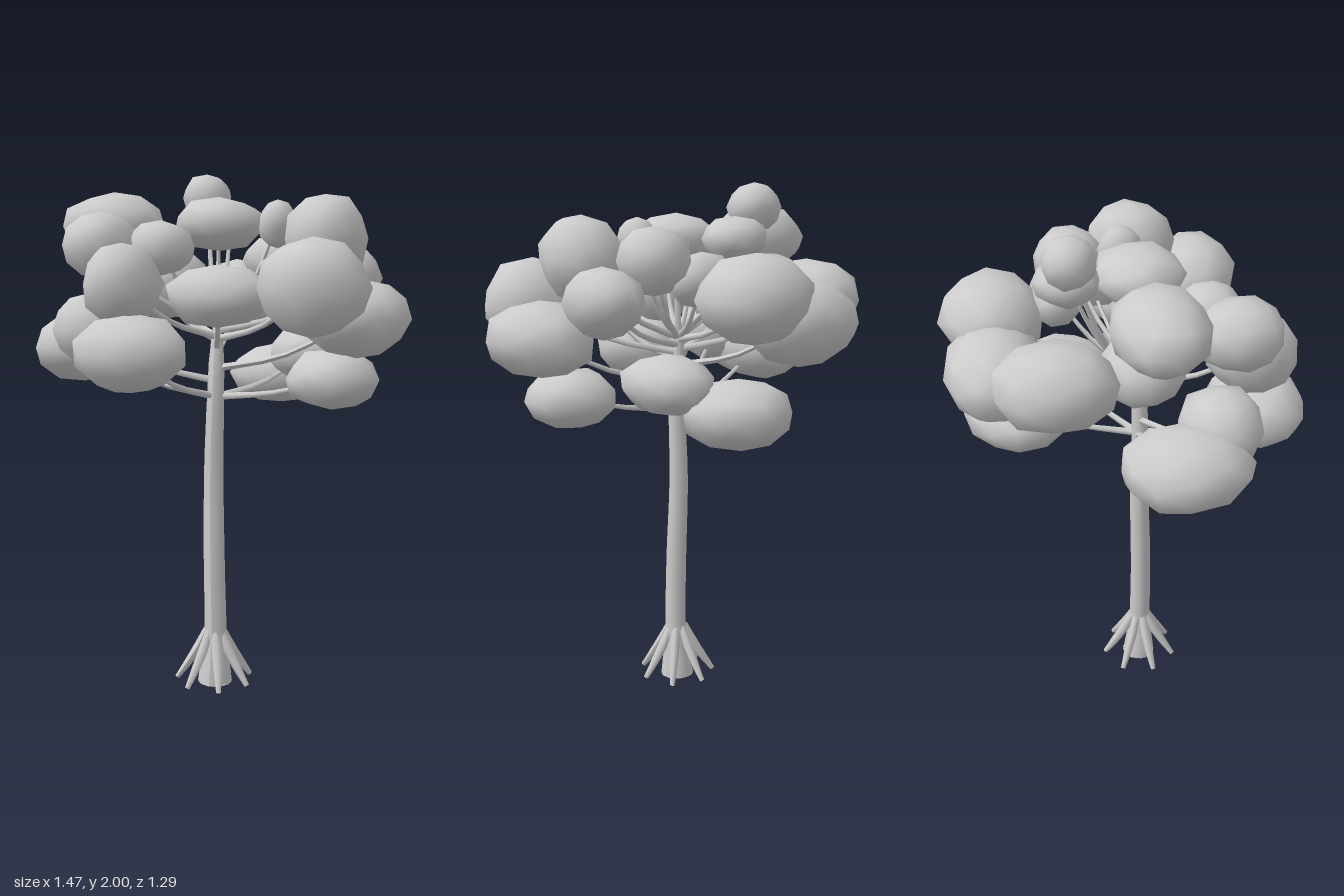
import * as THREE from 'three';
import { mergeVertices } from 'three/addons/utils/BufferGeometryUtils.js';

const material = new THREE.MeshStandardMaterial({ color: 0xcccccc, side: THREE.DoubleSide });

// small seeded generator for the foliage irregularity
let seed = 7;
const rand = () => (seed = (seed * 16807) % 2147483647) / 2147483647;

function addMesh(parent, geometry, name) {
  const mesh = new THREE.Mesh(geometry, material);
  mesh.name = name;
  parent.add(mesh);
}

// tube along points whose radius follows a list of radii
function limb(points, radii, segments, sides) {
  const curve = new THREE.CatmullRomCurve3(points.map(p => new THREE.Vector3(...p)));
  const geo = new THREE.TubeGeometry(curve, segments, 1, sides);
  const pos = geo.attributes.position, v = new THREE.Vector3();
  for (let i = 0; i < pos.count; i++) {
    const t = Math.floor(i / (sides + 1)) / segments;
    const f = t * (radii.length - 1), k = Math.min(Math.floor(f), radii.length - 2);
    const r = THREE.MathUtils.lerp(radii[k], radii[k + 1], f - k);
    const c = curve.getPointAt(t);
    v.fromBufferAttribute(pos, i).sub(c).multiplyScalar(r).add(c);
    pos.setXYZ(i, v.x, v.y, v.z);
  }
  geo.computeVertexNormals();
  return geo;
}

// coarse, smooth-shaded, slightly irregular leaf clump
function clump([x, y, z, rx, ry, rz]) {
  let geo = new THREE.IcosahedronGeometry(1, 1);
  geo.deleteAttribute('normal');
  geo.deleteAttribute('uv');
  geo = mergeVertices(geo, 1e-3);
  geo.rotateY(rand() * 6.28);
  const pos = geo.attributes.position;
  for (let i = 0; i < pos.count; i++) {
    const s = 0.95 + 0.12 * rand();
    pos.setXYZ(i, pos.getX(i) * s, THREE.MathUtils.clamp(pos.getY(i) * s, -1, 1), pos.getZ(i) * s);
  }
  geo.scale(rx, ry, rz);
  geo.translate(x, y, z);
  geo.computeVertexNormals();
  return geo;
}

// clumps: centre x, y, z and half sizes
const CLUMPS = [
  // crown
  [-0.46, 1.79, 0.05, 0.21, 0.13, 0.16],
  [-0.17, 1.91, -0.20, 0.10, 0.09, 0.095],
  [-0.07, 1.80, -0.20, 0.12, 0.08, 0.12],
  [-0.02, 1.79, 0.06, 0.17, 0.10, 0.16],
  [0.20, 1.79, 0.03, 0.07, 0.09, 0.08],
  [0.40, 1.73, 0.10, 0.15, 0.16, 0.17],
  [0.28, 1.73, -0.15, 0.13, 0.12, 0.13],
  [0.12, 1.66, -0.22, 0.14, 0.10, 0.10],
  // front left
  [-0.37, 1.71, 0.33, 0.14, 0.12, 0.16],
  [-0.25, 1.57, 0.42, 0.14, 0.15, 0.16],
  [-0.16, 1.70, 0.28, 0.12, 0.10, 0.12],
  [-0.20, 1.33, 0.46, 0.21, 0.14, 0.18],
  [-0.56, 1.33, 0.13, 0.18, 0.14, 0.23],
  [-0.44, 1.40, 0.27, 0.16, 0.14, 0.15],
  [-0.28, 1.56, 0.03, 0.17, 0.13, 0.15],
  // front right
  [0.09, 1.53, 0.36, 0.19, 0.11, 0.12],
  [0.43, 1.56, 0.36, 0.20, 0.17, 0.17],
  [0.54, 1.45, 0.17, 0.19, 0.14, 0.22],
  [0.44, 1.59, -0.06, 0.13, 0.13, 0.17],
  [0.44, 1.23, 0.13, 0.17, 0.11, 0.17],
  [0.26, 1.30, -0.19, 0.15, 0.11, 0.19],
  // back
  [0.09, 1.61, -0.45, 0.22, 0.16, 0.19],
  [-0.14, 1.51, -0.46, 0.24, 0.16, 0.18],
  [-0.38, 1.57, -0.28, 0.18, 0.15, 0.22],
  [0.09, 1.20, -0.38, 0.21, 0.125, 0.20],
];

export function createModel() {
  const tree = new THREE.Group();
  tree.name = 'tree';

  // gently bent trunk with flared foot
  addMesh(tree, limb(
    [[-0.035, 0, 0.075], [-0.03, 0.2, 0.08], [-0.035, 0.5, 0.08], [-0.04, 0.85, 0.07], [-0.03, 1.2, 0.07], [-0.03, 1.45, 0.05]],
    [0.068, 0.044, 0.042, 0.041, 0.039, 0.037, 0.034, 0.03, 0.015], 24, 10), 'trunk');
  const base = new THREE.CircleGeometry(0.068, 10).rotateX(Math.PI / 2);
  addMesh(tree, base.translate(-0.035, 0.002, 0.075), 'trunkBase');

  // ring of prop roots
  const roots = new THREE.Group();
  roots.name = 'roots';
  for (let i = 0; i < 7; i++) {
    const a = i / 7 * Math.PI * 2 + 0.2;
    const at = (r, y) => [-0.035 + r * Math.cos(a), y, 0.078 + r * Math.sin(a)];
    addMesh(roots, limb([at(0.03, 0.215), at(0.065, 0.14), at(0.115, 0.06), at(0.15, 0.01)],
      [0.015, 0.02, 0.017, 0.01], 8, 6), 'root');
  }
  tree.add(roots);

  // foliage, each clump carried by a thin branch
  const branches = new THREE.Group(), foliage = new THREE.Group();
  branches.name = 'branches';
  foliage.name = 'foliage';
  for (const c of CLUMPS) {
    addMesh(foliage, clump(c), 'leafClump');
    const [x, y, z] = c;
    const y0 = THREE.MathUtils.clamp(y - 0.2, 1.14, 1.42);
    const mid = [-0.03 + (x + 0.03) * 0.5, y0 + (y - y0) * 0.3, 0.06 + (z - 0.06) * 0.5];
    addMesh(branches, limb([[-0.03, y0, 0.06], mid, [x, y, z]], [0.015, 0.01, 0.006], 6, 5), 'branch');
  }
  tree.add(branches, foliage);
  return tree;
}
